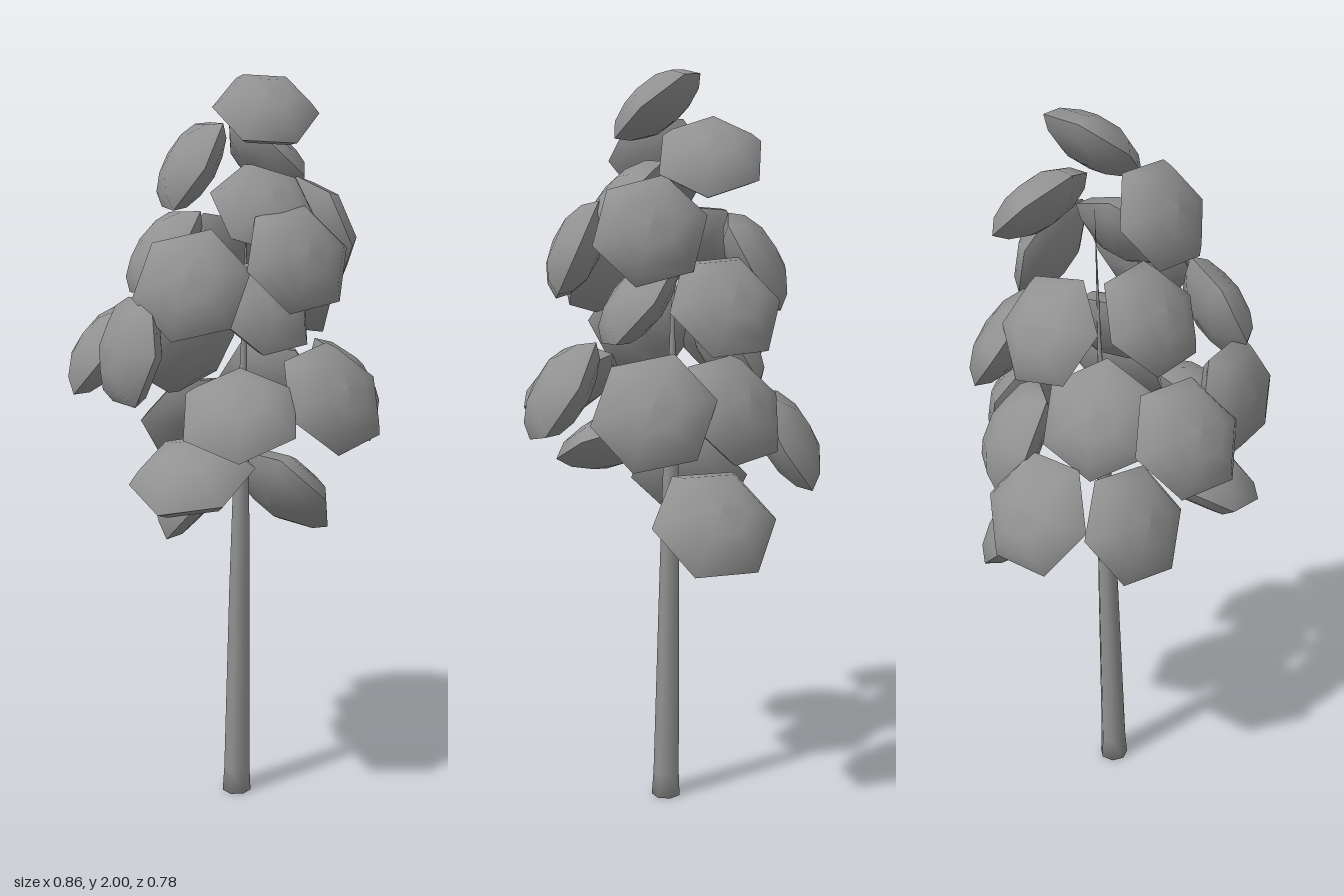
import * as THREE from 'three';
import { mergeGeometries } from 'three/addons/utils/BufferGeometryUtils.js';

// Leaf clumps: centre x, y, z, compass direction in degrees (0 = front, 90 = left) and upward tilt
const CLUMPS = [
  [0.075, 1.91, -0.05, 35, 1.2],
  [-0.07, 1.77, 0.10, -52, 0.6],
  [0.02, 1.78, -0.19, 140, 1.1],
  [0.11, 1.66, 0.04, 45, 0.9],
  [0.225, 1.54, 0.10, 50, 0.45],
  [0.19, 1.60, -0.15, 142, 0.35],
  [-0.17, 1.54, 0.06, -51, 0.75],
  [-0.14, 1.51, -0.19, -140, 0.6],
  [0, 1.48, 0.26, 15, 0.42],
  [0.09, 1.40, 0.01, 60, 0.8],
  [0.05, 1.41, -0.28, 160, 0.65],
  [-0.16, 1.305, 0.28, -42, 0.2],
  [-0.32, 1.28, 0.13, -63, 0.75],
  [-0.16, 1.26, -0.07, -115, 0.65],
  [0.31, 1.18, 0.06, 60, 0.62],
  [0.13, 1.155, 0.25, 18, 1.35],
  [0.24, 1.15, -0.22, 136, 0.45],
  [0.01, 1.14, -0.27, 180, 0.6],
  [-0.22, 1.03, -0.24, -138, 0.6],
  [-0.01, 0.98, 0.24, 0, 2.1],
  [-0.11, 0.90, 0.03, -56, 0.6],
  [0.055, 0.84, -0.25, 155, 0.85],
];

const UP = new THREE.Vector3(0, 1, 0);

const lathe = (pairs, sides) =>
  new THREE.LatheGeometry(pairs.map(([r, y]) => new THREE.Vector2(r, y)), sides);

// Six-sided cushion, unit radius: smooth above and below with a sharp rim
function clumpGeometry() {
  const above = lathe([[1, 0], [0.8, 0.24], [0.45, 0.4], [0, 0.45]], 6);
  const below = lathe([[0, -0.4], [0.45, -0.35], [0.8, -0.2], [1, 0]], 6);
  return mergeGeometries([above, below]);
}

export function createModel() {
  const model = new THREE.Group();
  model.name = 'tree';
  const grey = new THREE.MeshStandardMaterial({ color: 0x929292 });
  grey.name = 'plain grey';

  // Tapering trunk, leaning slightly backwards
  const trunkGeometry = lathe(
    [[0, 0], [0.041, 0], [0.037, 0.07], [0.029, 0.6], [0.022, 0.95], [0.011, 1.2], [0.005, 1.4], [0, 1.78]], 7);
  const p = trunkGeometry.attributes.position;
  for (let i = 0; i < p.count; i++) {
    const y = p.getY(i);
    p.setX(i, p.getX(i) + 0.01 + 0.012 * (y / 1.78) ** 2);
    p.setZ(i, p.getZ(i) - 0.01 - 0.025 * y);
  }
  const trunk = new THREE.Mesh(trunkGeometry, grey);
  trunk.name = 'trunk';

  const crown = new THREE.Group();
  crown.name = 'crown';
  model.add(trunk, crown);

  // Leaf clumps, larger towards the bottom of the crown, each spun differently
  const cushion = clumpGeometry();
  CLUMPS.forEach(([x, y, z, compass, tilt], i) => {
    const angle = THREE.MathUtils.degToRad(compass);
    const facing = new THREE.Vector3(Math.sin(angle), tilt, Math.cos(angle)).normalize();
    const clump = new THREE.Mesh(cushion, grey);
    clump.name = 'leafClump';
    clump.scale.setScalar(0.195 - 0.0275 * y);
    clump.position.set(x, y, z);
    clump.quaternion.setFromUnitVectors(UP, facing)
      .multiply(new THREE.Quaternion().setFromAxisAngle(UP, i * 1.7));
    crown.add(clump);
  });
  return model;
}
